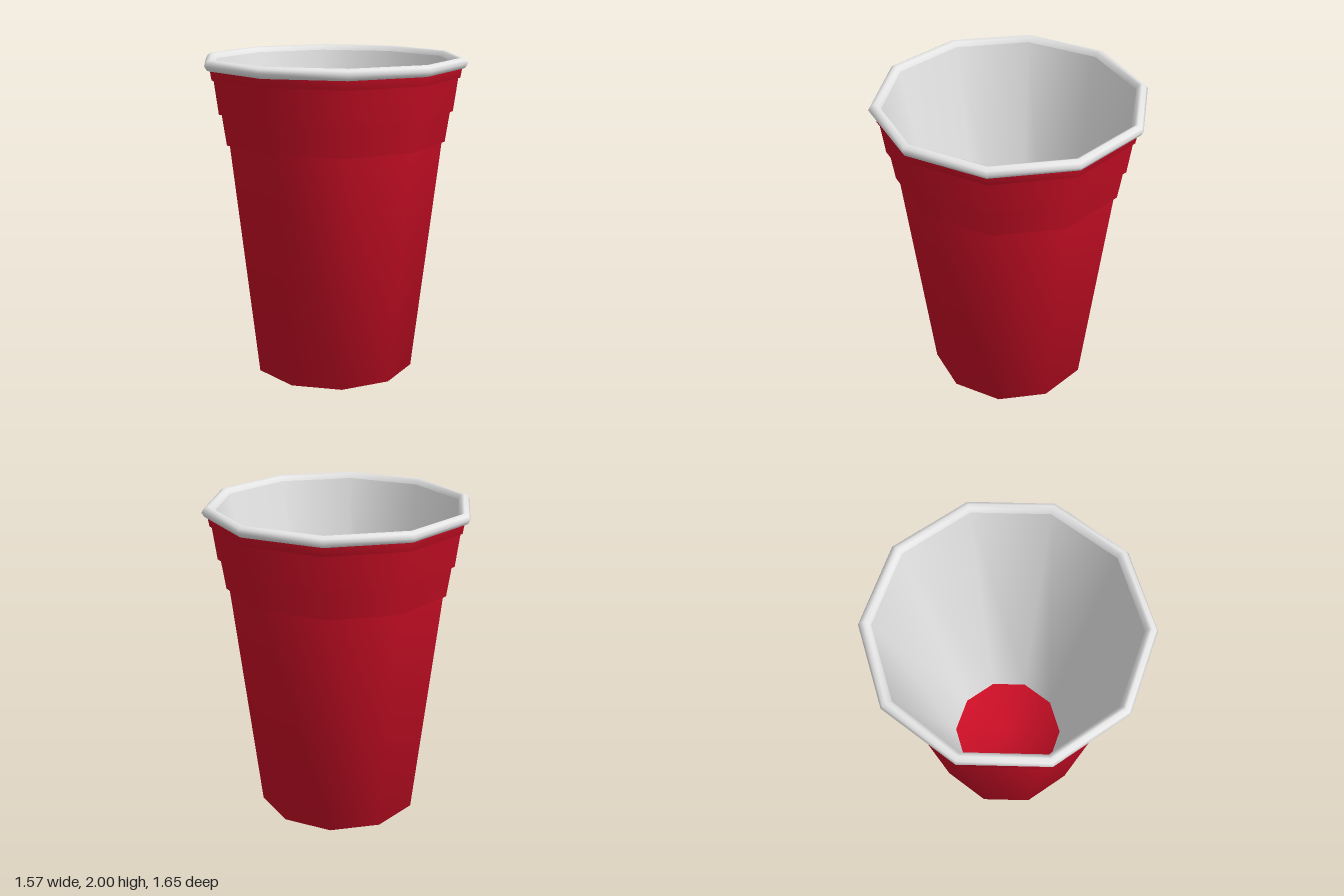
import * as THREE from 'three';

const SIDES = 10;

const red = new THREE.MeshStandardMaterial({ color: 0xc80e25 });
red.name = 'cup red';
const white = new THREE.MeshStandardMaterial({ color: 0xe6e6e6 });
white.name = 'rim white';

// Ten-sided turned part from [radius, height] pairs
function turned(name, profile, material) {
  const points = profile.map(([r, y]) => new THREE.Vector2(r, y));
  const mesh = new THREE.Mesh(new THREE.LatheGeometry(points, SIDES), material);
  mesh.name = name;
  return mesh;
}

export function createModel() {
  const cup = new THREE.Group();
  cup.name = 'cup';

  // Base, tapered wall and the stepped grip bands
  cup.add(turned('outerWall', [
    [0, 0], [0.515, 0],
    [0.682, 1.485], [0.70, 1.485],
    [0.728, 1.675], [0.745, 1.675],
    [0.772, 1.88], [0.784, 1.88],
    [0.793, 1.935],
  ], red));

  // Rolled lip
  cup.add(turned('rim', [
    [0.785, 1.93], [0.812, 1.94], [0.827, 1.965], [0.815, 1.987],
    [0.79, 2], [0.77, 1.992], [0.755, 1.965],
  ], white));

  // Lining that narrows to the floor
  cup.add(turned('innerWall', [[0.755, 1.965], [0.375, 0.1]], white));

  // Floor, shaded softly into the lining
  const floor = turned('floor', [[0.375, 0.1], [0, 0.1]], red);
  const { position, normal } = floor.geometry.attributes;
  for (let i = 0; i < position.count; i++) {
    const n = new THREE.Vector3(-2 * position.getX(i), 1, -2 * position.getZ(i)).normalize();
    normal.setXYZ(i, n.x, n.y, n.z);
  }
  cup.add(floor);

  return cup;
}
